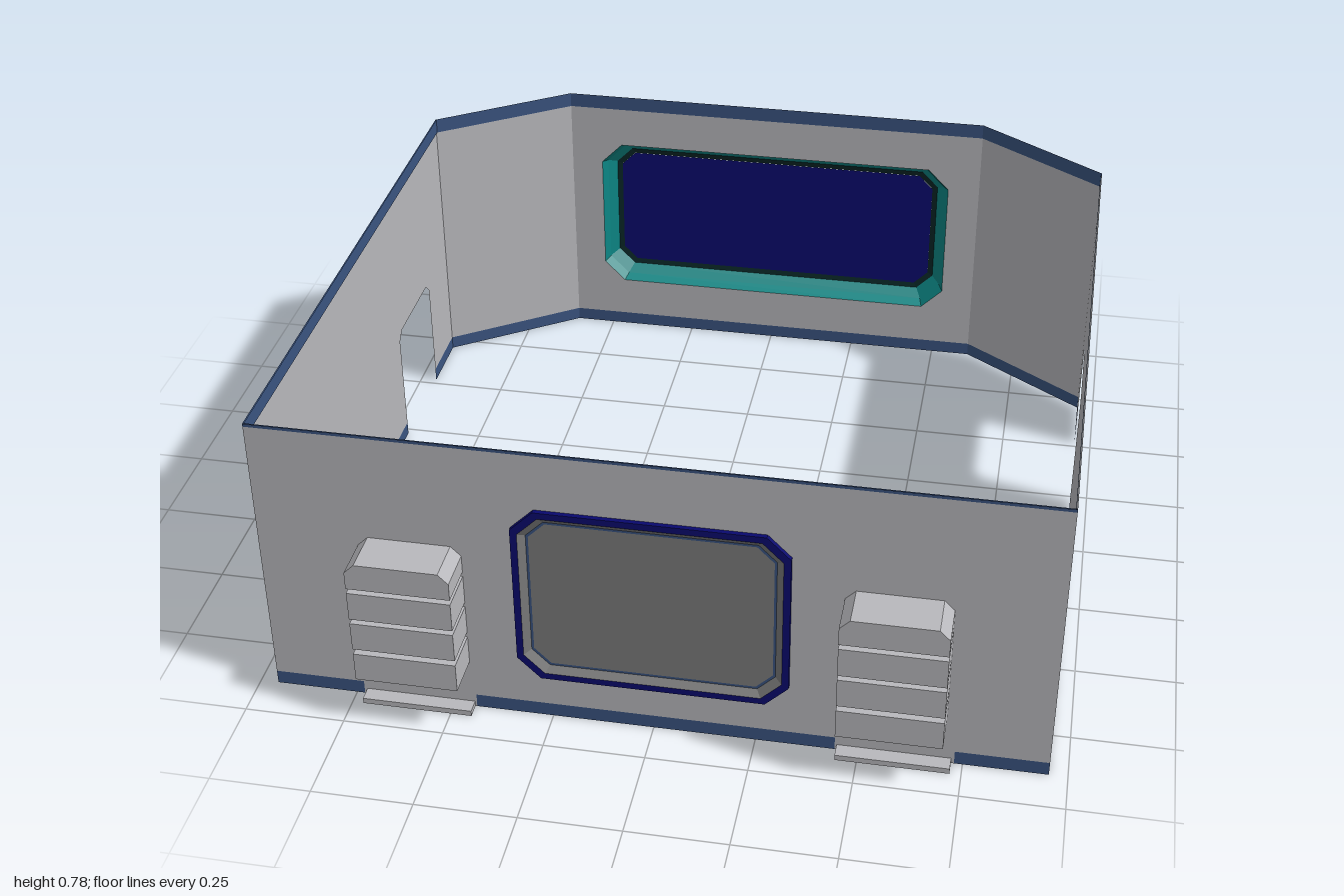
import * as THREE from 'three';

const mat = (name, color) => {
  const m = new THREE.MeshStandardMaterial({ color, side: THREE.DoubleSide });
  m.name = name;
  return m;
};

// Outlines are lists of [x, y]; c cuts the corners, cBottom the lower ones
const outline = (x0, x1, y0, y1, c = 0, cBottom = c) => {
  const low = cBottom ? [[x0, y0 + cBottom], [x0 + cBottom, y0], [x1 - cBottom, y0], [x1, y0 + cBottom]] : [[x0, y0], [x1, y0]];
  const high = c ? [[x1, y1 - c], [x1 - c, y1], [x0 + c, y1], [x0, y1 - c]] : [[x1, y1], [x0, y1]];
  return [...low, ...high];
};
const toVectors = (pts) => pts.map(([x, y]) => new THREE.Vector2(x, y));

// Flat sheet with optional holes
function sheet(name, material, pts, holes = [], z = 0) {
  const shape = new THREE.Shape(toVectors(pts));
  for (const h of holes) shape.holes.push(new THREE.Path(toVectors(h)));
  const mesh = new THREE.Mesh(new THREE.ShapeGeometry(shape), material);
  mesh.name = name;
  mesh.position.z = z;
  return mesh;
}

// Faceted skin between matching outlines at successive depths
function loft(name, material, rings) {
  const pos = [];
  for (let r = 0; r < rings.length - 1; r++) {
    const [A, za] = rings[r], [B, zb] = rings[r + 1];
    for (let i = 0; i < A.length; i++) {
      const j = (i + 1) % A.length;
      const a = [...A[i], za], b = [...A[j], za], c = [...B[j], zb], d = [...B[i], zb];
      pos.push(...a, ...b, ...c, ...a, ...c, ...d);
    }
  }
  const g = new THREE.BufferGeometry();
  g.setAttribute('position', new THREE.Float32BufferAttribute(pos, 3));
  g.computeVertexNormals();
  const mesh = new THREE.Mesh(g, material);
  mesh.name = name;
  return mesh;
}

export function createModel() {
  const grey = mat('wallGrey', 0xb8b8bc);
  const blue = mat('trimBlue', 0x3a5480);
  const navy = mat('windowNavy', 0x08086e);
  const teal = mat('frameTeal', 0x0c8684);
  const dark = mat('darkBorder', 0x082626);
  const panelGrey = mat('panelGrey', 0x7c7c7c);

  const model = new THREE.Group();
  model.name = 'wallShell';
  const TOP = 0.778, BAND = 0.037, FRONT = 0.89, BACK = 0.945;

  // Openings
  const scoopRows = [[0.14, 0.218], [0.233, 0.311], [0.324, 0.402], [0.415, 0.487]];
  const scoops = [];
  for (const s of [-1, 1]) {
    scoopRows.forEach(([y0, y1], i) => {
      scoops.push(outline(s * 0.58 - 0.126, s * 0.58 + 0.126, y0, y1, i === 3 ? 0.025 : 0, 0));
    });
  }
  const frontOct = (inset) => outline(-0.33 + inset, 0.33 - inset, 0.125 + inset, 0.62 - inset, 0.057 - inset * 0.4);
  const backOct = (inset) => outline(-0.52 + inset, 0.52 - inset, 0.155 + inset, 0.62 - inset, 0.06 - inset * 0.4);

  // Wall upper part, with a doorway notch from n0 to n1 where needed
  const wallOutline = (L, notch) => {
    const pts = [[-L / 2, BAND]];
    if (notch) {
      const [n0, n1] = notch, h = 0.338, c = 0.025;
      pts.push([n0, BAND], [n0, h - c], [n0 + c, h], [n1 - c, h], [n1, h - c], [n1, BAND]);
    }
    pts.push([L / 2, BAND], [L / 2, TOP - 0.008], [-L / 2, TOP - 0.008]);
    return pts;
  };

  const corners = [[-0.955, FRONT], [0.955, FRONT], [0.955, -0.705], [0.61, -BACK], [-0.61, -BACK], [-0.955, -0.705]];
  const walls = [
    { name: 'frontWall', holes: [frontOct(0), ...scoops], breaks: [[-0.73, -0.443], [0.443, 0.73]], fill: true },
    { name: 'leftWall', notch: [0.3225, 0.6125] },
    { name: 'leftBackCorner' },
    { name: 'backWall', holes: [backOct(0)] },
    { name: 'rightBackCorner' },
    { name: 'rightWall', notch: [-0.6125, -0.3225] },
  ];
  walls.forEach((w, i) => {
    const a = corners[i], b = corners[(i + 1) % corners.length];
    const dx = b[0] - a[0], dz = b[1] - a[1], L = Math.hypot(dx, dz);
    const g = new THREE.Group();
    g.name = w.name;
    g.position.set((a[0] + b[0]) / 2, 0, (a[1] + b[1]) / 2);
    g.rotation.y = Math.atan2(-dz, dx);
    g.add(sheet('wallSheet', grey, wallOutline(L, w.notch), w.holes));
    // Coloured edges: thin outside at the top, deeper inside
    g.add(sheet('topTrim', blue, outline(-L / 2, L / 2, TOP - 0.008, TOP)));
    g.add(sheet('innerTopTrim', blue, outline(-L / 2, L / 2, TOP - 0.04, TOP), [], -0.003));
    // Bottom band, interrupted at doorways and vent tabs
    let x = -L / 2;
    for (const [b0, b1] of [...(w.breaks ?? (w.notch ? [w.notch] : [])), [L / 2, L / 2]]) {
      g.add(sheet('bottomTrim', blue, outline(x, b0, 0, BAND)));
      if (w.fill && b1 > b0) g.add(sheet('bandGap', grey, outline(b0, b1, 0, BAND)));
      x = b1;
    }
    model.add(g);
  });

  // Vents: hollow scoops open to the inside
  const vents = new THREE.Group();
  vents.name = 'vents';
  for (const s of scoops) {
    vents.add(loft('scoopSides', grey, [[s, FRONT], [s, 1]]));
    vents.add(sheet('scoopFront', grey, s, [], 1));
  }
  model.add(vents);

  // Tabs below the vents
  for (const s of [-1, 1]) {
    const tab = new THREE.Mesh(new THREE.BoxGeometry(0.275, 0.015, 0.038), grey);
    tab.name = 'ventTab';
    tab.position.set(s * 0.585, 0.0075, FRONT + 0.019);
    model.add(tab);
  }

  // Front window
  const front = new THREE.Group();
  front.name = 'frontWindow';
  front.add(
    loft('windowFrame', navy, [[frontOct(0), FRONT - 0.003], [frontOct(0), 0.902], [frontOct(0.017), 0.902]]),
    loft('windowBevel', panelGrey, [[frontOct(0.017), 0.902], [frontOct(0.034), 0.888]]),
    loft('windowLine', blue, [[frontOct(0.034), 0.888], [frontOct(0.04), 0.888]]),
    sheet('windowPanel', panelGrey, frontOct(0.04), [], 0.888),
  );
  model.add(front);

  // Back window, bulging outwards
  const back = new THREE.Group();
  back.name = 'backWindow';
  back.add(
    loft('backFrame', teal, [[backOct(0), -BACK], [backOct(0.012), -0.972], [backOct(0.035), -0.997]]),
    loft('backBorder', dark, [[backOct(0.035), -0.997], [backOct(0.05), -1]]),
    sheet('backPanel', navy, backOct(0.05), [], -0.999),
  );
  // Turn the back skins so that their fronts face outwards
  back.children.forEach((m) => {
    const g = m.geometry.index ? m.geometry.toNonIndexed() : m.geometry;
    if (m.name === 'backPanel') {
      g.rotateY(Math.PI);
    } else {
      g.scale(-1, 1, 1);
      g.computeVertexNormals();
    }
    m.geometry = g;
  });
  model.add(back);

  return model;
}
